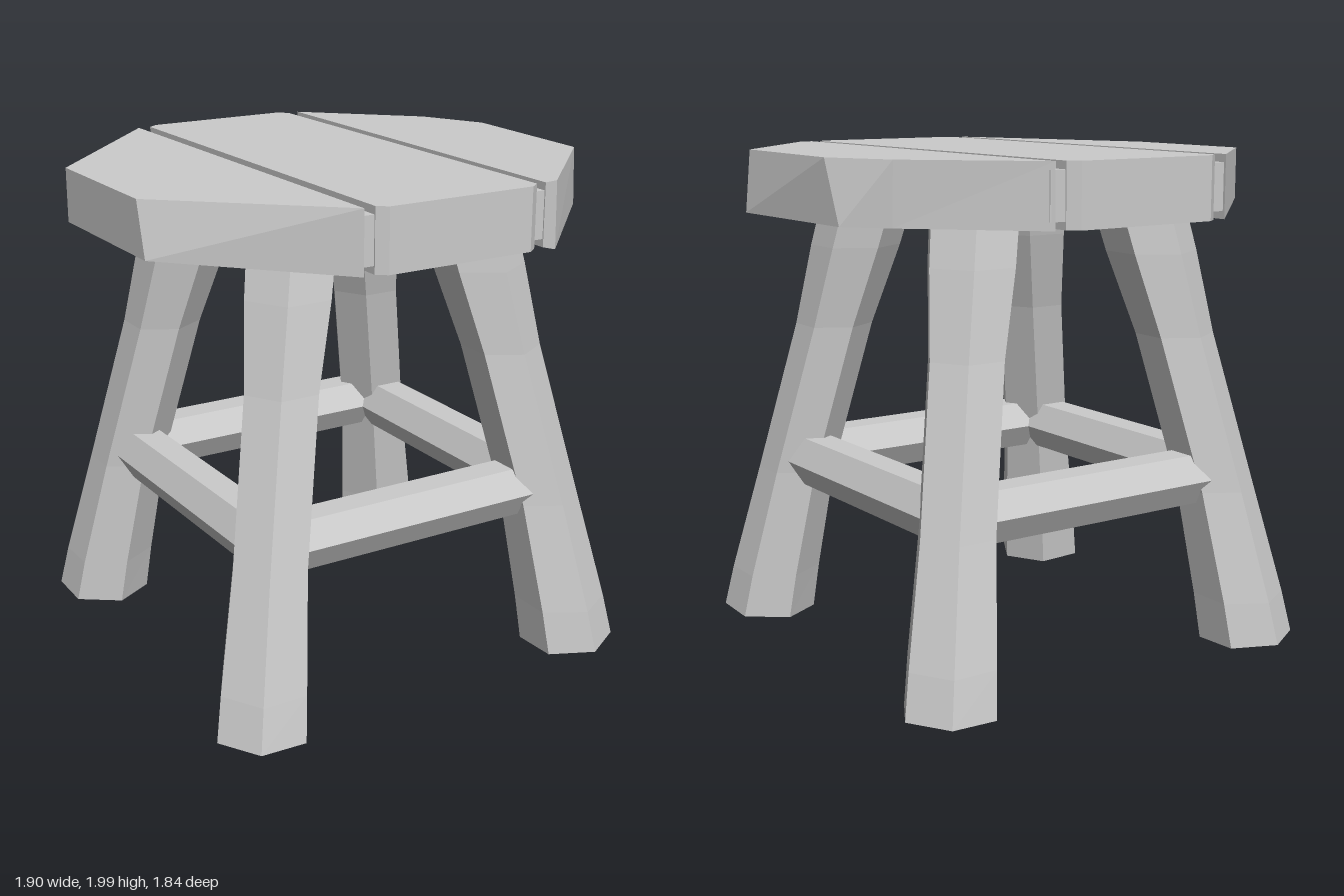
import * as THREE from 'three';

const wood = new THREE.MeshStandardMaterial({ color: 0xcccccc, flatShading: true });

// Skin a stack of rings (bottom to top, each turning from +x towards +z) and cap both ends
function loft(rings) {
  const pos = [];
  const tri = (a, b, c) => pos.push(...a, ...b, ...c);
  const n = rings[0].length;
  for (let r = 0; r < rings.length - 1; r++) {
    for (let i = 0; i < n; i++) {
      const j = (i + 1) % n, lo = rings[r], hi = rings[r + 1];
      tri(lo[i], hi[i], lo[j]);
      tri(lo[j], hi[i], hi[j]);
    }
  }
  const base = rings[0], top = rings[rings.length - 1];
  for (let i = 1; i < n - 1; i++) {
    tri(base[0], base[i], base[i + 1]);
    tri(top[0], top[i + 1], top[i]);
  }
  const geo = new THREE.BufferGeometry();
  geo.setAttribute('position', new THREE.Float32BufferAttribute(pos, 3));
  geo.computeVertexNormals();
  return geo;
}

function add(parent, name, geo) {
  const mesh = new THREE.Mesh(geo, wood);
  mesh.name = name;
  parent.add(mesh);
  return mesh;
}

// Plank from a lower and an upper outline of [x, z, optional y]
function plank(lower, upper) {
  const ring = (pts, y0) => pts.map(([x, z, y = y0]) => [x, y, z]);
  return loft([ring(lower, 1.76), ring(upper, 2)]);
}

export function createModel() {
  const stool = new THREE.Group();
  stool.name = 'stool';

  // Seat: three planks cut to a rough octagon
  const seat = new THREE.Group();
  seat.name = 'seat';
  stool.add(seat);

  const middle = [[0.34, -0.89], [0.35, 0.87], [0.31, 0.9], [-0.3, 0.9],
    [-0.34, 0.87], [-0.34, -0.89], [-0.3, -0.92], [0.3, -0.925]];
  add(seat, 'middlePlank', plank(middle, middle));

  add(seat, 'rightPlank', plank(
    [[-0.39, -0.895], [-0.39, 0.88], [-0.955, 0.345, 1.775], [-0.955, -0.34, 1.775]],
    [[-0.39, -0.895], [-0.39, 0.88], [-0.955, 0.29, 1.985], [-0.955, -0.34, 1.985]]));

  add(seat, 'leftPlank', plank(
    [[0.39, -0.895], [0.8, -0.49], [0.93, -0.34], [0.95, 0.365], [0.41, 0.915], [0.39, 0.87]],
    [[0.39, -0.895], [0.8, -0.5], [0.93, -0.24], [0.91, 0.4], [0.45, 0.86], [0.39, 0.87]]));

  // Recessed strips that join the planks
  for (const x of [-0.365, 0.37]) {
    add(seat, 'grooveStrip', new THREE.BoxGeometry(0.07, 0.18, 1.75)).position.set(x, 1.88, -0.01);
  }

  // Splayed hexagonal leg: [height, offset along x and z, radius]
  const legSections = [[0.02, 0.725, 0.19], [0.2, 0.7, 0.183], [0.65, 0.625, 0.158],
    [1.27, 0.5, 0.157], [1.6, 0.43, 0.182], [1.82, 0.385, 0.187]];
  const legGeo = loft(legSections.map(([y, c, r], level) =>
    Array.from({ length: 6 }, (_, i) => {
      const a = Math.PI / 6 + i * Math.PI / 3;
      const tilt = level === 0 ? 0.05 * Math.cos(a - Math.PI / 4) * r : 0;
      return [c + r * Math.cos(a), y + tilt, c + r * Math.sin(a)];
    })));

  // Hexagonal stretcher with one ridge pointing outwards
  const stretcherGeo = new THREE.CylinderGeometry(0.115, 0.115, 1.2, 6);
  stretcherGeo.rotateZ(Math.PI / 2).translate(0, 0.7, 0.605);

  for (let i = 0; i < 4; i++) {
    add(stool, 'leg', legGeo).rotation.y = i * Math.PI / 2;
    add(stool, 'stretcher', stretcherGeo).rotation.y = i * Math.PI / 2;
  }
  return stool;
}
